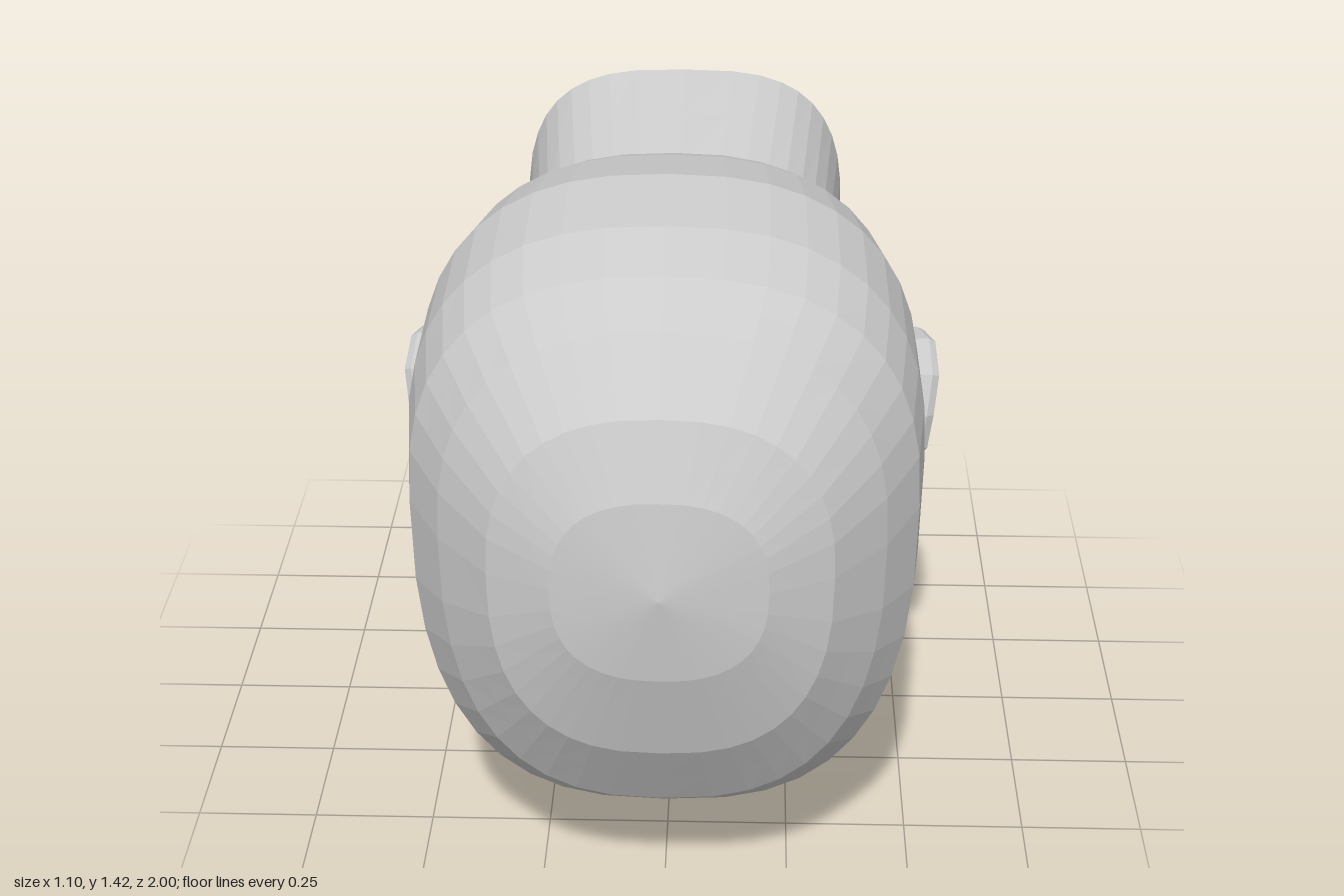
import * as THREE from 'three';

const skin = new THREE.MeshStandardMaterial({ color: 0xcccccc, flatShading: true, side: THREE.DoubleSide });

function meshFrom(name, positions, index) {
  const g = new THREE.BufferGeometry();
  g.setAttribute('position', new THREE.Float32BufferAttribute(positions, 3));
  g.setIndex(index);
  g.computeVertexNormals();
  const m = new THREE.Mesh(g, skin);
  m.name = name;
  return m;
}

// Split each span between neighbouring rings into equal steps.
function refine(rings, steps) {
  const out = [];
  for (let i = 0; i < rings.length - 1; i++) {
    for (let s = 0; s < steps; s++) {
      out.push(rings[i].map((v, k) => THREE.MathUtils.lerp(v, rings[i + 1][k], s / steps)));
    }
  }
  out.push(rings[rings.length - 1]);
  return out;
}

// Ring: bottom z, bottom y, top z, top y, half width, height of widest point,
// squareness of the lower half and of the upper half, bend of the ring plane.
function loft(name, rings, sides, shape = () => {}) {
  const pos = [], idx = [];
  const p = new THREE.Vector3();
  for (const [zb, yb, zt, yt, w, yw, lowerN, upperN, bend] of rings) {
    for (let j = 0; j < sides; j++) {
      const t = (j / sides) * Math.PI * 2, c = Math.cos(t), s = Math.sin(t);
      const e = 2 / (s > 0 ? upperN : lowerN);
      const y = yw + (s > 0 ? yt - yw : yw - yb) * Math.sign(s) * Math.abs(s) ** e;
      const v = yt > yb ? Math.max(0, (y - yb) / (yt - yb)) : 0;
      p.set(w * Math.sign(c) * Math.abs(c) ** e, y, zb + (zt - zb) * v ** bend);
      shape(p);
      pos.push(p.x, p.y, p.z);
    }
  }
  for (let i = 0; i < rings.length - 1; i++) {
    for (let j = 0; j < sides; j++) {
      const a = i * sides + j, b = i * sides + (j + 1) % sides;
      idx.push(a, a + sides, b, b, a + sides, b + sides);
    }
  }
  return meshFrom(name, pos, idx);
}

// Eye sockets, bridge of the nose and groove of the mouth, pressed into the face.
function faceRelief(p) {
  if (p.y > 0.4 || p.z < -0.5) return;
  const dent = (x, z, rx, rz, d) => d * Math.exp(-(((p.x - x) / rx) ** 2) - ((p.z - z) / rz) ** 2);
  p.y += dent(0.17, 0.14, 0.09, 0.06, 0.05) + dent(-0.17, 0.14, 0.09, 0.06, 0.05);
  p.y += dent(0, 0.17, 0.1, 0.04, 0.02);
  p.y += dent(0, -0.27, 0.13, 0.03, 0.03) + dent(0, -0.4, 0.15, 0.05, 0.02);
}

// Ear: a cupped plate flaring outwards towards the crown.
function ear(side) {
  const outline = [[0.25, 0.94], [0.14, 0.97], [0.06, 0.96], [-0.06, 0.88], [-0.14, 0.79], [-0.13, 0.72],
    [-0.02, 0.725], [0.09, 0.705], [0.18, 0.7], [0.28, 0.78], [0.28, 0.86]];
  const n = outline.length, pos = [], idx = [];
  const outer = (z, y) => 0.44 + 0.1 * Math.sin(Math.min(1, (z + 0.14) / 0.36) * Math.PI / 2) + (y - 0.87) * 0.13;
  const layers = [
    [1, () => 0.41],
    [1, (z, y) => outer(z, y) - 0.015],
    [0.94, outer],
    [0.8, (z, y) => outer(z, y) - 0.01],
  ];
  for (const [k, fx] of layers) {
    for (const [z, y] of outline) {
      const zz = 0.09 + (z - 0.09) * k, yy = 0.83 + (y - 0.83) * k;
      pos.push(side * fx(zz, yy), yy, zz);
    }
  }
  pos.push(side * 0.5, 0.83, 0.09);
  const tri = (a, b, c) => (side > 0 ? idx.push(a, b, c) : idx.push(a, c, b));
  for (let j = 0; j < n; j++) {
    const k = (j + 1) % n;
    for (let i = 0; i < 3; i++) {
      tri(i * n + j, i * n + k, (i + 1) * n + j);
      tri(i * n + k, (i + 1) * n + k, (i + 1) * n + j);
    }
    tri(3 * n + j, 3 * n + k, 4 * n);
  }
  return meshFrom(side > 0 ? 'leftEar' : 'rightEar', pos, idx);
}

function ellipsoid(name, x, y, z, rx, ry, rz) {
  const m = new THREE.Mesh(new THREE.SphereGeometry(1, 12, 8), skin);
  m.name = name;
  m.position.set(x, y, z);
  m.scale.set(rx, ry, rz);
  return m;
}

export function createModel() {
  const group = new THREE.Group();
  group.name = 'head';

  // Skull lying face down, from the crown to the jaw
  const skull = [
    [1, 0.84, 1, 0.84, 0, 0.84, 2.4],
    [0.98, 0.66, 0.975, 1.03, 0.2, 0.85, 2.5],
    [0.92, 0.46, 0.92, 1.17, 0.32, 0.85, 2.6],
    [0.81, 0.28, 0.81, 1.29, 0.42, 0.86, 2.6],
    [0.7, 0.2, 0.7, 1.35, 0.485, 0.88, 2.7],
    [0.57, 0.15, 0.57, 1.395, 0.5, 0.92, 2.8],
    [0.4, 0.12, 0.37, 1.42, 0.495, 0.95, 2.9],
    [0.24, 0.09, 0.15, 1.375, 0.47, 0.93, 2.9],
    [0.15, 0.105, 0.05, 1.34, 0.455, 0.9, 2.7],
    [0, 0.11, -0.08, 1.29, 0.435, 0.88, 2.5],
    [-0.14, 0.12, -0.14, 1.25, 0.42, 0.84, 2.35],
    [-0.3, 0.13, -0.18, 1.22, 0.4, 0.82, 2.2],
    [-0.45, 0.14, -0.22, 1.2, 0.385, 0.8, 2.1],
    [-0.57, 0.125, -0.25, 1.18, 0.37, 0.8, 2],
    [-0.595, 0.16, -0.26, 1.175, 0.365, 0.8, 2],
    [-0.6, 0.4, -0.27, 1.17, 0.36, 0.8, 2.1],
  ].map((r) => [...r, 2.5, 1]);

  // Neck, bending towards its slanted open end
  const neck = [
    [-0.64, 0.42, -0.3, 1.16, 0.355, 0.8, 2.1, 2.5, 1],
    [-0.78, 0.44, -0.45, 1.13, 0.355, 0.8, 2.3, 2.7, 0.75],
    [-1, 0.47, -0.81, 1.22, 0.38, 0.8, 2.8, 3.1, 0.45],
  ];
  group.add(loft('skullAndNeck', refine([...skull, ...neck], 2), 40, faceRelief));

  // Nose, widening from the bridge to the blunt tip
  const nose = [
    [0.21, 0.11, 0.21, 0.2, 0.025, 0.16, 2, 2, 1],
    [0.14, 0.1, 0.14, 0.2, 0.035, 0.16, 2, 2, 1],
    [0.04, 0.06, 0.04, 0.2, 0.055, 0.14, 2, 2, 1],
    [-0.05, 0.014, -0.05, 0.2, 0.075, 0.11, 2.1, 2, 1],
    [-0.085, 0, -0.08, 0.2, 0.085, 0.1, 2.1, 2, 1],
    [-0.108, 0.015, -0.1, 0.2, 0.075, 0.1, 2.1, 2, 1],
    [-0.1, 0.09, -0.1, 0.2, 0.04, 0.12, 2, 2, 1],
  ];
  group.add(loft('nose', nose, 16));

  // Lips and the hollow of the mouth behind them
  group.add(ellipsoid('upperLip', 0, 0.15, -0.235, 0.11, 0.03, 0.03));
  group.add(ellipsoid('lowerLip', 0, 0.155, -0.3, 0.095, 0.03, 0.035));
  group.add(ellipsoid('mouthCavity', 0, 0.23, -0.27, 0.12, 0.06, 0.05));

  // Eyes, nostril wings and ears, one on each side
  for (const side of [1, -1]) {
    const name = side > 0 ? 'left' : 'right';
    group.add(ellipsoid(name + 'Eye', side * 0.17, 0.205, 0.14, 0.06, 0.05, 0.045));
    group.add(ellipsoid(name + 'NostrilWing', side * 0.07, 0.1, -0.075, 0.03, 0.045, 0.035));
    group.add(ear(side));
  }
  return group;
}
